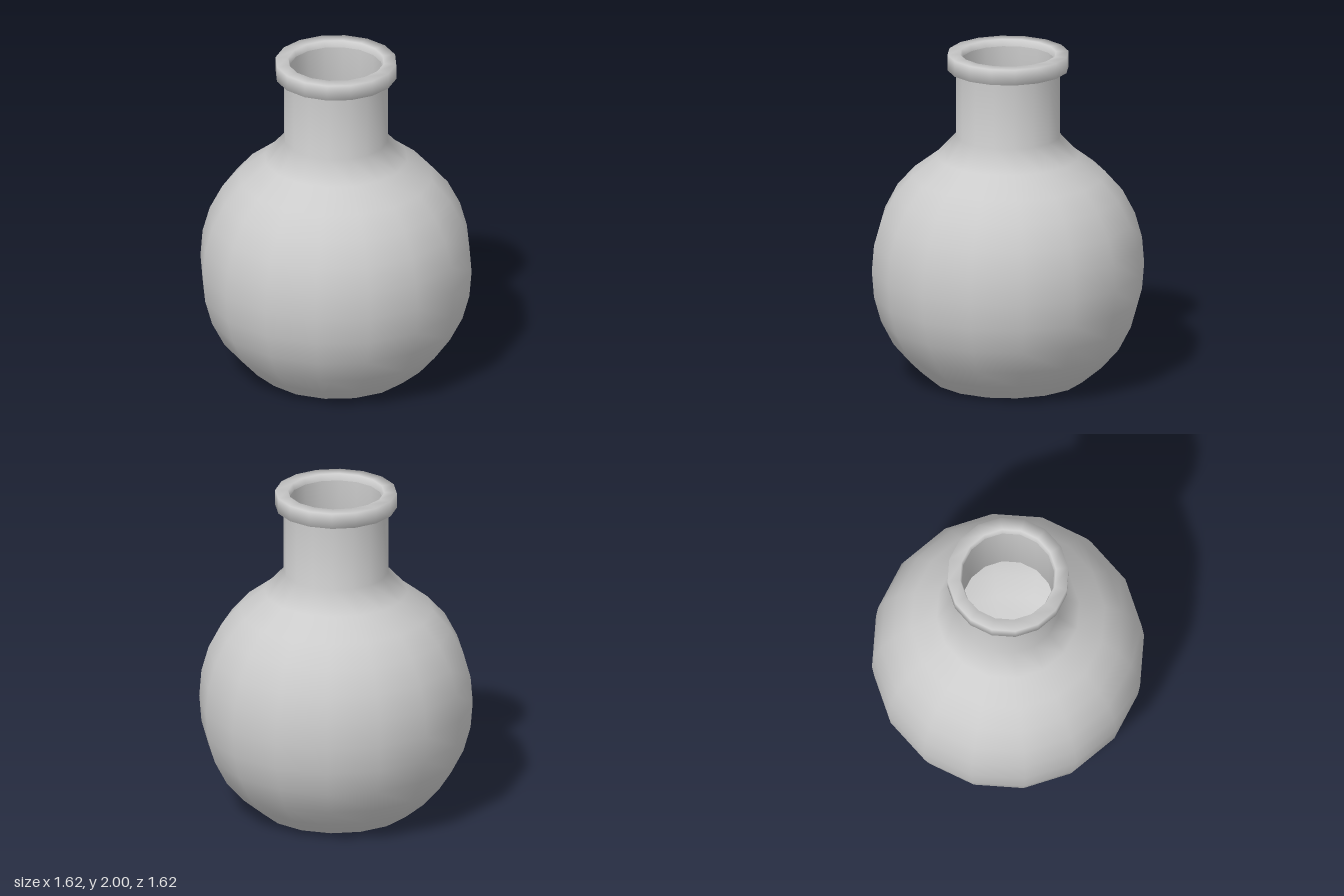
import * as THREE from 'three';

const SIDES = 16;
const material = new THREE.MeshStandardMaterial({ color: 0xcccccc, side: THREE.DoubleSide });

// Revolve a list of [radius, height] points around the y axis
function lathe(name, profile) {
  const points = profile.map(([r, y]) => new THREE.Vector2(r, y));
  const mesh = new THREE.Mesh(new THREE.LatheGeometry(points, SIDES), material);
  mesh.name = name;
  return mesh;
}

export function createModel() {
  const group = new THREE.Group();
  group.name = 'roundFlask';

  // Outer wall: flat base, round belly, shoulder and straight neck
  group.add(lathe('outerWall', [
    [0, 0], [0.44, 0], [0.455, 0.005], [0.575, 0.105], [0.68, 0.225], [0.755, 0.37], [0.797, 0.52],
    [0.81, 0.68], [0.797, 0.84], [0.755, 0.99], [0.68, 1.135], [0.575, 1.255],
    [0.425, 1.37], [0.31, 1.495], [0.31, 1.9],
  ]));

  // Inner wall: runs down the neck and around the hollow belly to the floor
  group.add(lathe('innerWall', [
    [0.275, 1.96], [0.275, 1.48], [0.4, 1.345], [0.55, 1.23], [0.65, 1.12],
    [0.725, 0.98], [0.767, 0.83], [0.78, 0.68], [0.767, 0.53], [0.725, 0.38],
    [0.65, 0.24], [0.55, 0.13], [0.44, 0.035], [0, 0.035],
  ]));

  // Projecting lip around the mouth
  group.add(lathe('rim', [
    [0.305, 1.905], [0.36, 1.905], [0.36, 2], [0.285, 2], [0.275, 1.96],
  ]));

  return group;
}
